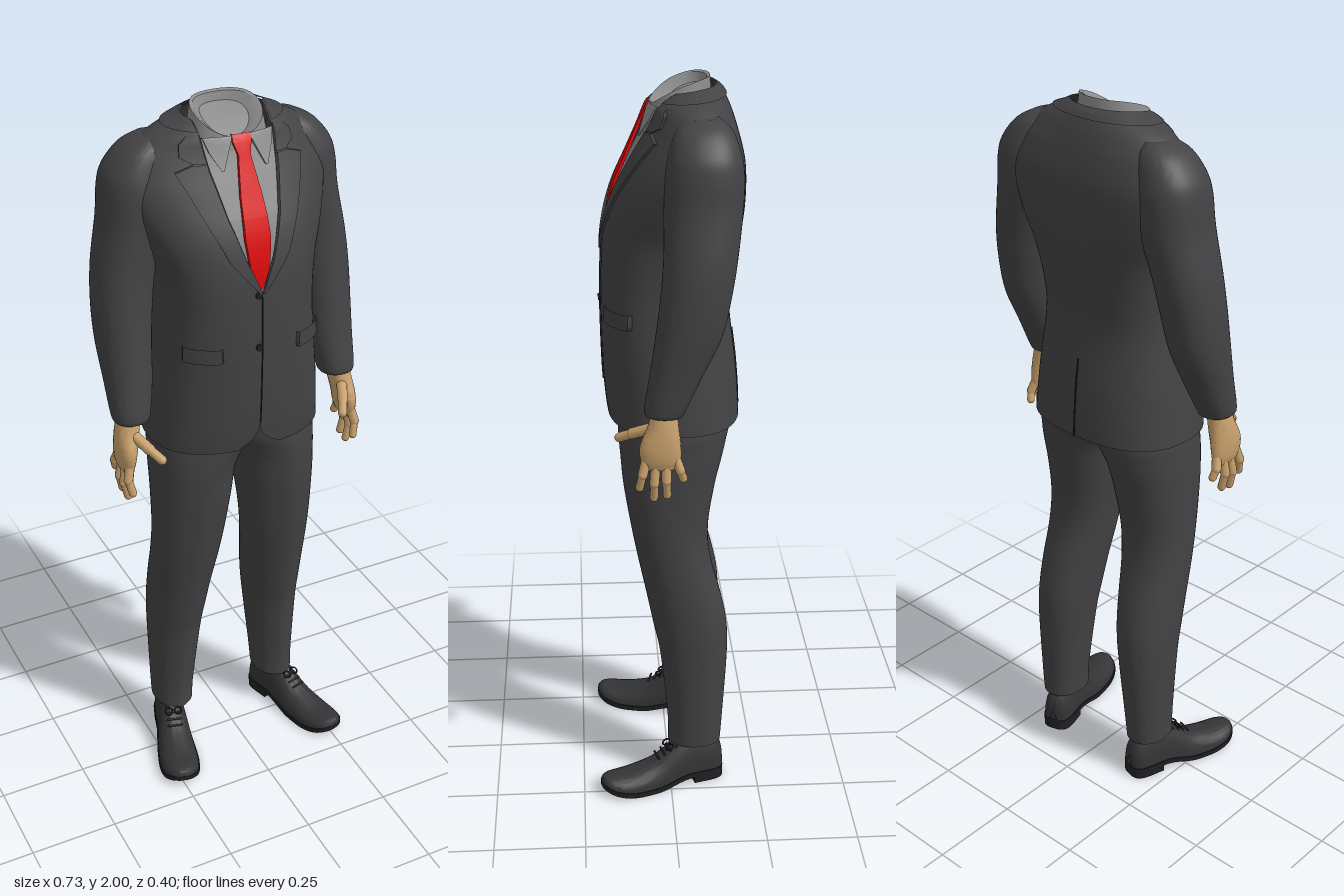
import * as THREE from 'three';
import { toCreasedNormals } from 'three/addons/utils/BufferGeometryUtils.js';

const SUIT = 0x434345, SHIRT = 0x8c8c8c, TIE = 0xdd0808, SKIN = 0xc8a06c, SHOE = 0x343436, DARK = 0x202022;
const mats = {};
const mat = (color) => (mats[color] ??= new THREE.MeshStandardMaterial({ color, side: THREE.DoubleSide }));

function mesh(name, geometry, color) {
  const m = new THREE.Mesh(geometry, mat(color));
  m.name = name;
  return m;
}

// Smoothly subdivides a table of cross-section rows
function refine(rows, k = 5) {
  const out = [], at = (i) => rows[Math.min(Math.max(i, 0), rows.length - 1)];
  for (let i = 0; i < rows.length - 1; i++) {
    for (let s = 0; s < k; s++) {
      const t = s / k;
      out.push(rows[i].map((p1, c) => {
        const p0 = at(i - 1)[c], p2 = rows[i + 1][c], p3 = at(i + 2)[c];
        return p1 + 0.5 * t * (p2 - p0 + t * (2 * p0 - 5 * p1 + 4 * p2 - p3 + t * (3 * (p1 - p2) + p3 - p0)));
      }));
    }
  }
  out.push(rows[rows.length - 1]);
  return out;
}

// Horizontal superellipse section: [y, xMin, xMax, zFront, zBack, rise, front and back squareness]
function ring([y, xi, xo, zf, zb, lift = 0, nf = 2.2, nb = nf], gap = 0, crease = 0, segs = 48) {
  const cx = (xi + xo) / 2, rx = (xo - xi) / 2, cz = (zf + zb) / 2, rz = (zf - zb) / 2;
  const t0 = Math.asin(Math.min(1, Math.pow(Math.max(0, gap) / rx, nf / 2)));
  return Array.from({ length: segs + 1 }, (_, j) => {
    const t = t0 + (2 * Math.PI - 2 * t0) * j / segs, c = Math.cos(t);
    const pow = (v) => Math.sign(v) * Math.pow(Math.abs(v), 2 / (c > 0 ? nf : nb));
    const fold = crease * Math.max(0, 1 - Math.min(t, 2 * Math.PI - t) / 0.4);
    return [cx + rx * pow(Math.sin(t)), y + lift * (1 - ((1 + c) / 2) ** 2), cz + rz * pow(c) + fold];
  });
}

// Skins a list of equal-length point rows
function loft(rings, capStart = false, capEnd = false, angle = 0.8) {
  const centre = (r) => {
    const m = [0, 1, 2].map((k) => r.slice(1).reduce((s, p) => s + p[k], 0) / (r.length - 1));
    return r.map(() => m);
  };
  const all = [...rings];
  if (capStart) all.unshift(centre(rings[0]));
  if (capEnd) all.push(centre(rings[rings.length - 1]));
  const w = all[0].length, index = [];
  for (let i = 0; i < all.length - 1; i++) {
    for (let j = 0; j < w - 1; j++) {
      const a = i * w + j, b = a + 1, c = a + w, d = c + 1;
      index.push(a, b, c, b, d, c);
    }
  }
  const g = new THREE.BufferGeometry();
  g.setAttribute('position', new THREE.Float32BufferAttribute(all.flat(2), 3));
  g.setIndex(index);
  return toCreasedNormals(g, angle);
}

// Jacket body: [y, half width, zFront, zBack, rise, front squareness, back squareness]
const torso = refine([
  [1.10, 0.243, 0.163, -0.195, 0, 2.4, 2.5], [1.16, 0.238, 0.170, -0.192, 0, 2.4, 2.5],
  [1.25, 0.230, 0.175, -0.184, 0, 2.4, 2.5], [1.40, 0.211, 0.178, -0.166, 0, 2.5, 2.6],
  [1.50, 0.205, 0.176, -0.174, 0, 2.6, 2.8], [1.60, 0.213, 0.169, -0.190, 0, 2.7, 3.1],
  [1.70, 0.248, 0.146, -0.198, 0, 2.4, 3.5], [1.80, 0.280, 0.104, -0.195, 0, 1.9, 3.4],
  [1.87, 0.266, 0.074, -0.180, 0, 1.55, 2.7], [1.91, 0.232, 0.058, -0.167, 0.002, 1.5, 2.2],
  [1.93, 0.190, 0.048, -0.155, 0.01, 1.7, 2.1], [1.945, 0.132, 0.034, -0.139, 0.02, 2.1, 2.1],
  [1.952, 0.108, 0.023, -0.122, 0.025, 2.1, 2.1],
], 6).map(([y, r, ...rest]) => [y, -r, r, ...rest]);

function torsoZ(x, y, side) {
  let i = 0;
  while (i < torso.length - 2 && torso[i + 1][0] < y) i++;
  const a = torso[i], b = torso[i + 1], t = (y - a[0]) / (b[0] - a[0]);
  const [, , rx, zf, zb, , nf, nb] = a.map((v, c) => v + (b[c] - v) * t);
  const n = side > 0 ? nf : nb;
  const d = Math.pow(Math.max(0, 1 - Math.pow(Math.abs(x) / rx, n)), 1 / n);
  return (zf + zb) / 2 + side * d * (zf - zb) / 2;
}

// Raised panel lying on the jacket body; rows are [y, x0, x1, extra depth]
function panel(name, rows, off, color, side = 1) {
  const k = 12, cols = [0, 0.03, 0.15, 0.3, 0.45, 0.6, 0.75, 0.88, 0.97, 1], grid = [];
  rows.slice(0, -1).forEach((a, i) => {
    const b = rows[i + 1], last = i === rows.length - 2;
    for (let s = 0; s < k + (last ? 1 : 0); s++) {
      const [y, x0, x1, extra = 0] = a.map((v, c) => v + (b[c] - v) * s / k);
      grid.push(cols.map((u, j) => {
        const x = x0 + (x1 - x0) * u, o = j % (cols.length - 1) === 0 ? Math.min(off, 0) : off;
        return [x * (1 + Math.max(o, 0) / 0.25), y, torsoZ(x, y, side) + side * (o + extra)];
      }));
    }
  });
  return mesh(name, loft(grid), color);
}

// Half width of the jacket opening: neck V above, rounded cutaway at the hem
function opening(y) {
  if (y < 1.19) return 0.065 * Math.pow((1.19 - y) / 0.09, 3);
  const pts = [[1.56, 0], [1.65, 0.036], [1.75, 0.068], [1.86, 0.09], [1.96, 0.1]];
  for (let i = 0; i < 4; i++) {
    const [a, b] = [pts[i], pts[i + 1]];
    if (y > a[0] && y <= b[0]) return a[1] + (b[1] - a[1]) * (y - a[0]) / (b[0] - a[0]);
  }
  return 0;
}

// Shirt and tie sink behind the jacket toward the bottom of the V
const tuck = (y) => -0.015 * THREE.MathUtils.clamp((1.75 - y) / 0.19, 0, 1);

function bone(a, b, r) {
  const A = new THREE.Vector3(...a), B = new THREE.Vector3(...b), d = B.clone().sub(A);
  const g = new THREE.CapsuleGeometry(r, d.length(), 5, 10);
  g.applyQuaternion(new THREE.Quaternion().setFromUnitVectors(new THREE.Vector3(0, 1, 0), d.normalize()));
  return g.translate(...A.add(B).multiplyScalar(0.5).toArray());
}

function makeHand() {
  const hand = new THREE.Group();
  hand.name = 'hand';
  const palm = refine([
    [1.055, 0.322, 0.349, 0.076, -0.010], [1.08, 0.313, 0.356, 0.086, -0.018], [1.12, 0.304, 0.358, 0.087, -0.018],
    [1.17, 0.290, 0.353, 0.066, -0.013], [1.225, 0.282, 0.340, 0.052, -0.009],
  ]).map((r) => ring(r, 0, 0, 20));
  hand.add(mesh('palm', loft(palm, true, true), SKIN));
  // Each finger: knuckle, middle joint, tip
  const fingers = {
    thumb: [[0.312, 1.158, 0.058], [0.290, 1.136, 0.105], [0.271, 1.118, 0.138]],
    indexFinger: [[0.334, 1.085, 0.070], [0.345, 1.042, 0.081], [0.337, 1.004, 0.089]],
    middleFinger: [[0.335, 1.075, 0.046], [0.346, 1.018, 0.051], [0.336, 0.974, 0.052]],
    ringFinger: [[0.335, 1.075, 0.020], [0.346, 1.024, 0.020], [0.337, 0.981, 0.018]],
    littleFinger: [[0.335, 1.085, -0.004], [0.344, 1.052, -0.016], [0.339, 1.028, -0.024]],
  };
  for (const [name, [a, b, c]] of Object.entries(fingers)) {
    const r = name === 'thumb' ? 0.015 : 0.013;
    hand.add(mesh(name, bone(a, b, r), SKIN), mesh(name + 'Tip', bone(b, c, r * 0.85), SKIN));
  }
  return hand;
}

function makeShoe() {
  const shoe = new THREE.Group();
  shoe.name = 'shoe';
  // [z, half width, upper height]
  const table = refine([
    [-0.155, 0.014, 0.05], [-0.146, 0.032, 0.08], [-0.12, 0.042, 0.105], [-0.06, 0.043, 0.112], [-0.01, 0.047, 0.098],
    [0.05, 0.054, 0.068], [0.12, 0.057, 0.046], [0.17, 0.049, 0.033], [0.197, 0.030, 0.022], [0.208, 0.008, 0.008],
  ], 4);
  const base = (z) => 0.02 * (1 - THREE.MathUtils.smoothstep(z, -0.05, 0.06)) + 2 * Math.pow(Math.max(0, z - 0.1), 2);
  const dome = ([z, w, h]) => Array.from({ length: 25 }, (_, j) => {
    const a = Math.PI * j / 24;
    return [w * Math.cos(a), base(z) + 0.013 + h * Math.pow(Math.sin(a), 0.9), z];
  });
  const slab = (z, w, y0, y1) => [[w, y0, z], [w, y1, z], [-w, y1, z], [-w, y0, z], [w, y0, z]];
  shoe.add(mesh('shoeUpper', loft(table.map(dome), true, true), SHOE));
  shoe.add(mesh('sole', loft(table.map(([z, w]) => slab(z, w + 0.003, base(z), base(z) + 0.015)), true, true, 0.6), DARK));
  const heel = table.filter(([z]) => z < -0.055).map(([z, w]) => slab(z, w + 0.002, 0, 0.021));
  shoe.add(mesh('heel', loft(heel, true, true, 0.6), DARK));
  for (let i = 0; i < 4; i++) {
    const z = -0.012 + i * 0.018, y = 0.12 - i * 0.0095;
    shoe.add(mesh('lace', bone([-0.02, y, z], [0.02, y, z], 0.003), DARK));
  }
  for (const s of [-1, 1]) {
    const loop = mesh('laceLoop', new THREE.TorusGeometry(0.011, 0.0025, 6, 14), DARK);
    loop.position.set(s * 0.014, 0.12, 0.008);
    loop.rotation.x = -1.1;
    shoe.add(loop);
  }
  shoe.position.x = 0.199;
  shoe.rotation.y = 0.28;
  return shoe;
}

// Everything that exists once per side, built for the +x side
function makeSide() {
  const side = new THREE.Group();
  const sleeve = refine([
    [1.195, 0.263, 0.351, 0.067, -0.025], [1.21, 0.256, 0.359, 0.075, -0.032], [1.30, 0.237, 0.363, 0.060, -0.075],
    [1.40, 0.225, 0.367, 0.045, -0.123], [1.50, 0.212, 0.366, 0.032, -0.146], [1.60, 0.195, 0.356, 0.024, -0.162],
    [1.72, 0.160, 0.333, 0.022, -0.176], [1.80, 0.150, 0.325, 0.018, -0.178], [1.85, 0.150, 0.311, 0.008, -0.170],
    [1.90, 0.150, 0.270, -0.010, -0.150], [1.927, 0.160, 0.222, -0.038, -0.120],
  ]);
  side.add(mesh('sleeve', loft(sleeve.map((r) => ring(r)), true, true), SUIT));
  const leg = refine([
    [0.125, 0.112, 0.228, 0.000, -0.145], [0.20, 0.106, 0.230, 0.000, -0.150], [0.40, 0.084, 0.235, 0.020, -0.162],
    [0.50, 0.072, 0.237, 0.040, -0.160], [0.60, 0.060, 0.238, 0.060, -0.140], [0.70, 0.046, 0.238, 0.081, -0.114],
    [0.80, 0.033, 0.237, 0.100, -0.106], [0.92, 0.017, 0.237, 0.119, -0.124], [1.00, 0.005, 0.237, 0.126, -0.143],
    [1.05, -0.020, 0.236, 0.130, -0.155], [1.10, -0.060, 0.234, 0.132, -0.165], [1.20, -0.070, 0.215, 0.135, -0.150],
  ]);
  side.add(mesh('trouserLeg', loft(leg.map((r) => ring(r, 0, 0.006)), true, true), SUIT));
  side.add(panel('lapel', [[1.56, 0, 0.008], [1.65, 0.036, 0.08], [1.75, 0.068, 0.126], [1.86, 0.09, 0.172],
    [1.876, 0.092, 0.128]], 0.007, SUIT));
  side.add(panel('collarLeaf', [[1.878, 0.092, 0.126], [1.893, 0.094, 0.155], [1.92, 0.097, 0.150],
    [1.94, 0.099, 0.125]], 0.005, SUIT));
  side.add(panel('pocketFlap', [[1.380, 0.106, 0.19], [1.383, 0.104, 0.192], [1.422, 0.106, 0.19]], 0.008, SUIT));
  side.add(panel('shirtCollarPoint', [[1.858, 0.056, 0.062], [1.9, 0.036, 0.085], [1.935, 0.02, 0.096]], 0.005, SHIRT));
  side.add(makeHand(), makeShoe());
  return side;
}

export function createModel() {
  const model = new THREE.Group();
  model.name = 'suitedFigure';

  // Jacket body, open at the front V and the hem
  model.add(mesh('jacketBody', loft(torso.map((r) => ring(r, opening(r[0]), 0, 72))), SUIT));
  const band = torso.filter((r) => r[0] > 1.938)
    .map(([y, a, b, f, z, ...rest]) => ring([y + 0.004, a - 0.005, b + 0.005, f, z - 0.005, ...rest], 0.102));
  model.add(mesh('jacketCollar', loft(band), SUIT));
  for (const y of [1.555, 1.41]) {
    const button = mesh('button', new THREE.CylinderGeometry(0.009, 0.009, 0.006, 16).rotateX(Math.PI / 2), DARK);
    button.position.set(-0.01, y, torsoZ(0, y, 1) + 0.003);
    model.add(button);
  }
  const seam = (...ys) => ys.map((y) => [y, -0.0012, 0.0012]);
  model.add(panel('frontSeam', seam(1.18, 1.37, 1.55), 0.003, DARK));
  model.add(panel('backVent', seam(1.1, 1.2, 1.32), 0.004, DARK, -1));

  // Shirt, collar with closed neck, and tie
  model.add(panel('shirtFront', [1.5, 1.56, 1.65, 1.75, 1.8, 1.87, 1.93].map((y) => {
    const w = opening(y) + 0.02;
    return [y, -w, w, tuck(y)];
  }), -0.008, SHIRT));
  const collar = [
    [1.870, 0.102, 0.060, -0.116, 0.07], [1.930, 0.092, 0.046, -0.110, 0.07], [1.928, 0.084, 0.039, -0.102, 0.068],
    [1.918, 0.062, 0.012, -0.098, 0.055],
  ].map(([y, r, f, b, l]) => ring([y, -r, r, f, b, l], 0, 0, 32));
  model.add(mesh('shirtCollar', loft(collar, false, true, 0.5), SHIRT));
  const tie = [[1.565, 0.004], [1.61, 0.026], [1.70, 0.036], [1.75, 0.034], [1.80, 0.030], [1.89, 0.017], [1.898, 0.019],
    [1.925, 0.027], [1.938, 0.024]];
  model.add(panel('tie', tie.map(([y, w]) => [y, -w, w, tuck(y)]), 0.008, TIE));

  for (const s of [1, -1]) {
    const side = makeSide();
    side.name = s > 0 ? 'leftSide' : 'rightSide';
    side.scale.x = s;
    model.add(side);
  }
  return model;
}
